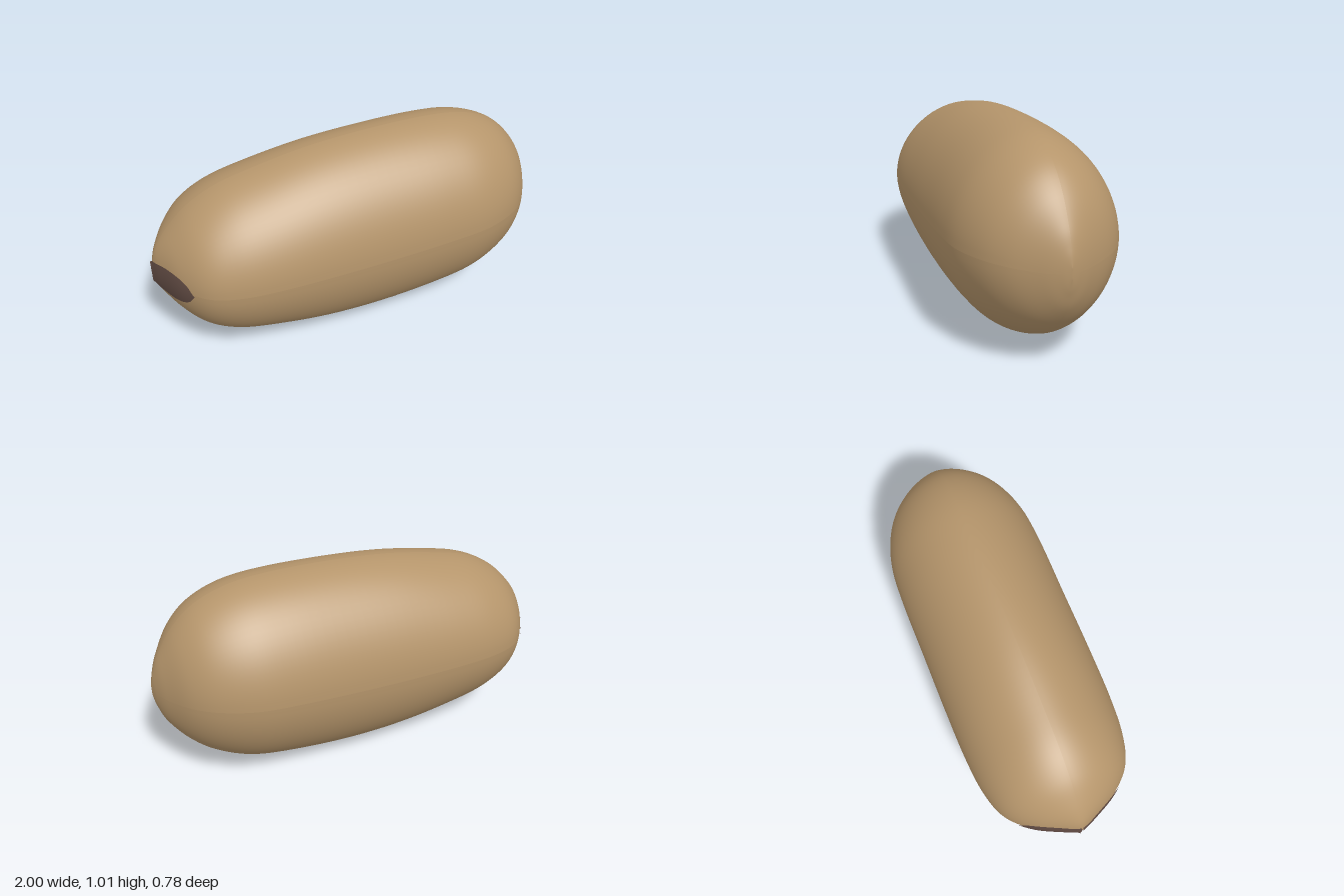
import * as THREE from 'three';

// Cross-sections along the bean: x, bottom, top, half width
const stations = [
  [-1, 0.43, 0.51, 0], [-0.97, 0.37, 0.61, 0.075], [-0.9, 0.27, 0.71, 0.21],
  [-0.8, 0.17, 0.805, 0.315], [-0.66, 0.095, 0.88, 0.365], [-0.47, 0.05, 0.93, 0.385],
  [-0.2, 0.007, 0.98, 0.39], [0.1, 0, 1.005, 0.39], [0.4, 0.03, 1.01, 0.39],
  [0.6, 0.07, 0.99, 0.375], [0.76, 0.145, 0.93, 0.32], [0.87, 0.235, 0.835, 0.235],
  [0.95, 0.34, 0.71, 0.115], [0.985, 0.43, 0.62, 0.045], [1, 0.5, 0.55, 0],
];
const curve = (pick) => new THREE.CatmullRomCurve3(
  stations.map((s) => new THREE.Vector3(...pick(s))), false, 'catmullrom', 0.5);
const outline = curve(([x, bottom, top]) => [x, bottom, top]);
const widths = curve(([x, , , w]) => [x, w, 0]);

function section(u) {
  const o = outline.getPoint(u);
  return {
    x: o.x, mid: (o.y + o.z) / 2, half: (o.z - o.y) / 2,
    width: Math.max(0, widths.getPoint(u).y),
  };
}

// Lens-shaped section: half thickness at relative height t (0 = middle, 1 = ridge)
const thickness = (t) => Math.pow(Math.max(0, 1 - Math.pow(Math.min(1, Math.abs(t)), 1.9)), 0.55);

// Smooth grid surface from a rule point(a, b) with a, b in 0..1
function gridSurface(point, n, m, flip) {
  const positions = [], index = [];
  for (let i = 0; i <= n; i++) {
    for (let j = 0; j <= m; j++) positions.push(...point(i / n, j / m));
  }
  for (let i = 0; i < n; i++) {
    for (let j = 0; j < m; j++) {
      const a = i * (m + 1) + j, b = a + m + 1;
      if (flip) index.push(a, b + 1, b, a, a + 1, b + 1);
      else index.push(a, b, b + 1, a, b + 1, a + 1);
    }
  }
  const geometry = new THREE.BufferGeometry();
  geometry.setAttribute('position', new THREE.Float32BufferAttribute(positions, 3));
  geometry.setIndex(index);
  geometry.computeVertexNormals();
  return geometry;
}

export function createModel() {
  const model = new THREE.Group();
  model.name = 'bean';
  const tan = new THREE.MeshStandardMaterial({ color: 0xb5956b });
  tan.name = 'tan skin';
  const brown = new THREE.MeshStandardMaterial({ color: 0x624c44 });
  brown.name = 'dark brown';

  const add = (name, geometry, material) => {
    const mesh = new THREE.Mesh(geometry, material);
    mesh.name = name;
    model.add(mesh);
  };

  for (const side of [1, -1]) {
    const sideName = side > 0 ? 'front' : 'back';

    // Skin in quarters, leaving soft creases along the ridge and the widest line
    for (const up of [1, -1]) {
      const quarter = gridSurface((u, v) => {
        const s = section(u);
        const t = Math.sin(v * Math.PI / 2);
        return [s.x, s.mid + up * t * s.half, side * s.width * thickness(t)];
      }, 84, 20, side * up < 0);
      add(`${sideName}${up > 0 ? 'Upper' : 'Lower'}Skin`, quarter, tan);
    }

    // Dark scar wrapped around the narrow tip, following the skin
    const scar = gridSurface((a, b) => {
      const s = section(a * 0.175);
      const k = (s.x + 0.94) / 0.073;
      const h = k < 0 ? 0.08 - 0.035 * k * k : 0.08 * Math.sqrt(Math.max(0, 1 - k * k));
      const y = 0.482 + (b * 2 - 1) * h;
      const z = s.width * thickness((y - s.mid) / s.half);
      return [s.x - 0.003, y, side * (z + 0.004)];
    }, 24, 12, side < 0);
    add(`${sideName}Scar`, scar, brown);
  }
  return model;
}
